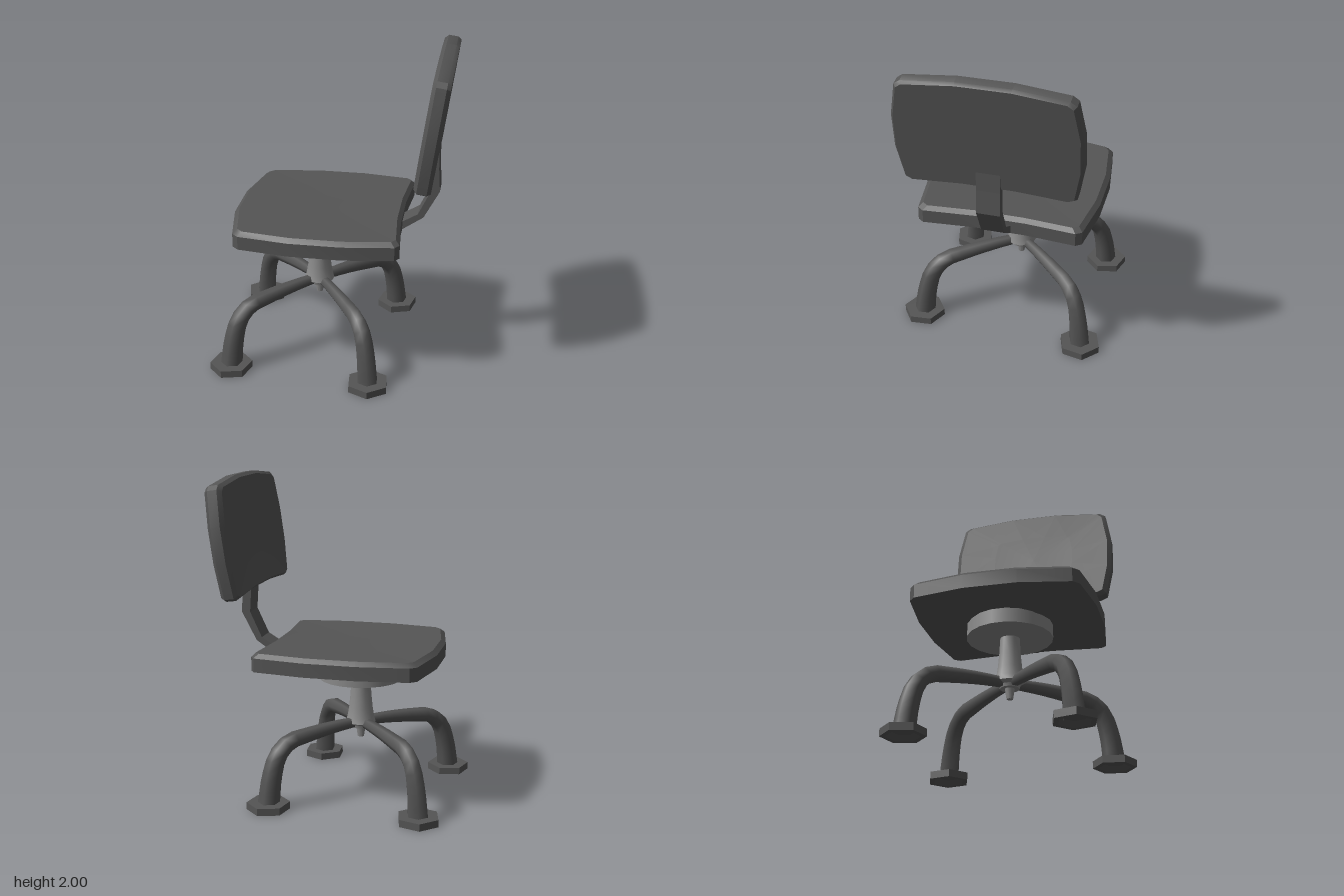
import * as THREE from 'three';
import { toCreasedNormals } from 'three/addons/utils/BufferGeometryUtils.js';

const fabric = new THREE.MeshStandardMaterial({ color: 0x555555 });
fabric.name = 'darkGrey';
const metal = new THREE.MeshStandardMaterial({ color: 0x8a8a8a });
metal.name = 'lightGrey';

function part(name, geometry, material) {
  const mesh = new THREE.Mesh(geometry, material);
  mesh.name = name;
  return mesh;
}

const lathe = (profile, sides, crease) => toCreasedNormals(
  new THREE.LatheGeometry(profile.map(([r, y]) => new THREE.Vector2(r, y)), sides), crease);

// Four-cornered pad with bowed edges. rings run from top to bottom as [scale, y].
function cushion({ x0, x1, bow0, bow1, half, bowSide }, rings) {
  const outline = [];
  const corners = [[x1, -half], [x1, half], [x0, half], [x0, -half]];
  const bows = [[bow1, 0], [0, bowSide], [-bow0, 0], [0, -bowSide]];
  const steps = [0.03, 0.34, 0.66, 0.97];
  for (let s = 0; s < 4; s++) {
    const a = corners[s], b = corners[(s + 1) % 4];
    for (const t of steps) {
      const k = 4 * t * (1 - t) * 1.1;
      outline.push([0, 1].map(i => a[i] + (b[i] - a[i]) * t + bows[s][i] * k));
    }
  }
  const mid = (x0 + x1) / 2, n = outline.length;
  const positions = [], index = [];
  rings.forEach(([scale, y], r) => {
    for (const [x, z] of outline) positions.push(mid + (x - mid) * scale, y, z * scale);
    if (r === rings.length - 1) return;
    for (let k = 0; k < n; k++) {
      const a = r * n + k, b = r * n + (k + 1) % n;
      if (scale > 0) index.push(a, b, a + n);
      if (rings[r + 1][0] > 0) index.push(b, b + n, a + n);
    }
  });
  const geometry = new THREE.BufferGeometry();
  geometry.setAttribute('position', new THREE.Float32BufferAttribute(positions, 3));
  geometry.setIndex(index);
  return toCreasedNormals(geometry, 0.5);
}

// Tube that widens evenly from its start to its end
function taperedTube(points, r0, r1, segments, sides) {
  const curve = new THREE.CatmullRomCurve3(points.map(([x, y]) => new THREE.Vector3(x, y, 0)));
  const geometry = new THREE.TubeGeometry(curve, segments, 1, sides);
  const pos = geometry.attributes.position, v = new THREE.Vector3();
  for (let i = 0; i < pos.count; i++) {
    const u = Math.floor(i / (sides + 1)) / segments;
    const centre = curve.getPointAt(u);
    v.fromBufferAttribute(pos, i).sub(centre).multiplyScalar(r0 + (r1 - r0) * u).add(centre);
    pos.setXYZ(i, v.x, v.y, v.z);
  }
  return geometry;
}

export function createModel() {
  const chair = new THREE.Group();
  chair.name = 'swivelChair';
  const centre = new THREE.Vector3(-0.11, 0, -0.03);

  // Swivelling upper half, turned slightly about the post
  const upper = new THREE.Group();
  upper.name = 'swivelSeat';
  upper.position.copy(centre);
  upper.rotation.y = -0.124;
  chair.add(upper);

  upper.add(part('seat', cushion(
    { x0: -0.44, x1: 0.565, bow0: 0.07, bow1: -0.03, half: 0.505, bowSide: 0.05 },
    [[0, 0.955], [0.5, 0.96], [0.95, 0.97], [1, 0.945], [1, 0.86], [0.86, 0.857], [0.45, 0.815], [0, 0.815]]
  ), fabric));

  const back = part('backrest', cushion(
    { x0: -0.36, x1: 0.328, bow0: -0.025, bow1: 0.04, half: 0.505, bowSide: 0.045 },
    [[0, 0.04], [0.5, 0.044], [0.95, 0.052], [1, 0.03], [1, -0.03], [0.97, -0.052], [0, -0.052]]
  ), fabric);
  back.position.set(0.728, 1.63, 0);
  back.rotation.z = Math.PI / 2 - 0.14;
  upper.add(back);

  // Bent strap joining seat and backrest
  const strapShape = new THREE.Shape([
    [0.52, 0.85], [0.665, 0.95], [0.76, 1.13], [0.75, 1.28], [0.748, 1.4],
    [0.72, 1.4], [0.695, 1.28], [0.705, 1.13], [0.63, 0.97], [0.48, 0.88],
  ].map(([x, y]) => new THREE.Vector2(x, y)));
  const strap = new THREE.ExtrudeGeometry(strapShape, { depth: 0.143, bevelEnabled: false });
  strap.translate(0, 0, -0.0715);
  upper.add(part('backStrap', strap, fabric));

  // Mounting disc, post and hub
  const disc = part('mountingDisc', new THREE.CylinderGeometry(0.265, 0.265, 0.09, 20), metal);
  disc.position.set(centre.x, 0.78, centre.z);
  const post = part('post', lathe([
    [0, 0.345], [0.02, 0.345], [0.03, 0.41], [0.06, 0.41], [0.065, 0.43], [0.095, 0.445],
    [0.085, 0.48], [0.075, 0.54], [0.066, 0.63], [0.06, 0.74],
  ], 12, 0.6), metal);
  post.position.copy(centre);
  chair.add(disc, post);

  // Four curved legs ending in hollow hexagonal feet
  const legGeometry = taperedTube(
    [[0.03, 0.445], [0.2, 0.44], [0.4, 0.422], [0.53, 0.4], [0.61, 0.33], [0.655, 0.2], [0.68, 0.03]],
    0.032, 0.068, 14, 6);
  const footGeometry = lathe(
    [[0, 0.03], [0.07, 0.03], [0.1, 0], [0.133, 0], [0.133, 0.045], [0.05, 0.045]], 6, 0.3);
  for (const degrees of [-126.5, -40.8, 61.9, 142.8]) {
    const leg = new THREE.Group();
    leg.name = 'leg';
    leg.position.copy(centre);
    leg.rotation.y = -THREE.MathUtils.degToRad(degrees);
    const foot = part('foot', footGeometry, fabric);
    foot.position.x = 0.683;
    leg.add(part('legTube', legGeometry, fabric), foot);
    chair.add(leg);
  }
  return chair;
}
